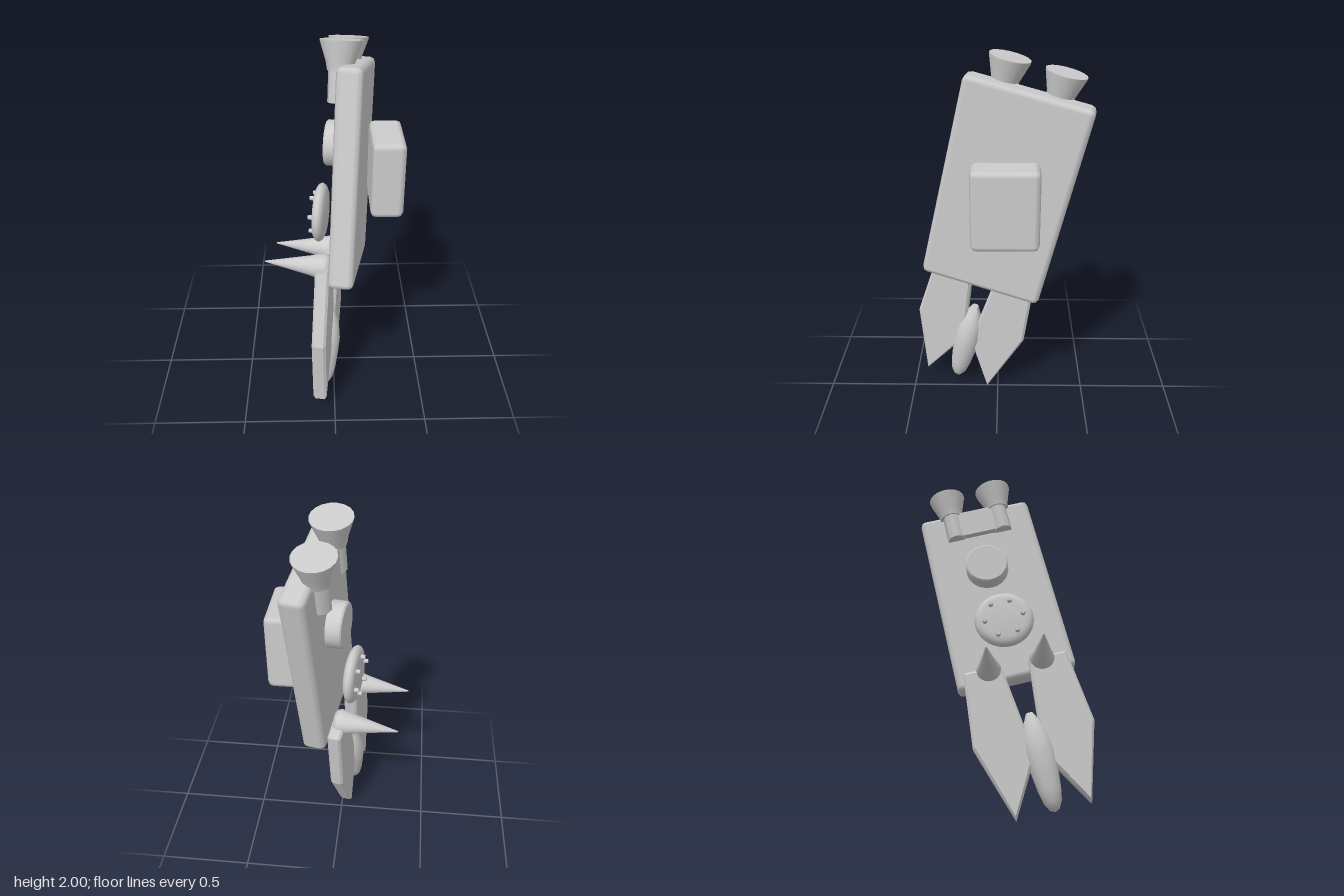
import * as THREE from 'three';
import { RoundedBoxGeometry } from 'three/addons/geometries/RoundedBoxGeometry.js';
import { toCreasedNormals } from 'three/addons/utils/BufferGeometryUtils.js';

const grey = new THREE.MeshStandardMaterial({ color: 0xcccccc });
grey.name = 'paleGrey';

function part(parent, name, geometry, x = 0, y = 0, z = 0) {
  const mesh = new THREE.Mesh(geometry, grey);
  mesh.name = name;
  mesh.position.set(x, y, z);
  parent.add(mesh);
  return mesh;
}

// turned shape from [radius, height] pairs, bottom to top
function turned(points, sides, crease = 0.6) {
  const profile = points.map(([r, h]) => new THREE.Vector2(r, h));
  return toCreasedNormals(new THREE.LatheGeometry(profile, sides), crease);
}

// pointed blade in the y-z plane, side = +1 front, -1 back
function finGeometry(side) {
  const outline = [[0.075, -0.49], [0.28, -0.49], [0.316, -0.895], [0.188, -1.285], [0.02, -0.995]];
  const bevel = 0.012;
  const shape = new THREE.Shape(outline.map(([z, y]) => new THREE.Vector2(-z * side, y)));
  const geo = new THREE.ExtrudeGeometry(shape, {
    depth: 0.075 - 2 * bevel, bevelThickness: bevel, bevelSize: bevel, bevelOffset: -bevel, bevelSegments: 1,
  });
  geo.translate(0, 0, -0.0375 + bevel);
  geo.rotateY(Math.PI / 2);
  return geo;
}

export function createModel() {
  const model = new THREE.Group();
  model.name = 'rocketPack';

  // tilted frame: local x is the slab thickness, y its height, z its width
  const tilted = new THREE.Group();
  tilted.name = 'tiltedPack';
  const up = new THREE.Vector3(0.041, 0.973, -0.227).normalize();
  const side = new THREE.Vector3().crossVectors(up, new THREE.Vector3(-0.162, 0.232, 0.958)).normalize();
  const front = new THREE.Vector3().crossVectors(side, up);
  tilted.quaternion.setFromRotationMatrix(new THREE.Matrix4().makeBasis(side, up, front));
  tilted.position.set(0.1, 1.3, -0.035);
  model.add(tilted);

  part(tilted, 'mainSlab', new RoundedBoxGeometry(0.13, 1.11, 0.655, 1, 0.03));

  // upright box on the outer face
  part(model, 'sideBox', new RoundedBoxGeometry(0.172, 0.42, 0.342, 1, 0.03), 0.277, 1.3, -0.041);

  // bar joining the two nozzle stems
  part(tilted, 'crossBar', new THREE.BoxGeometry(0.07, 0.16, 0.28), -0.067, 0.45, 0);

  // round boss
  const boss = part(tilted, 'roundBoss',
    turned([[0, -0.05], [0.12, -0.05], [0.12, 0.04], [0.112, 0.048], [0, 0.048]], 24), -0.098, 0.132, -0.01);
  boss.rotation.z = Math.PI / 2;

  // round-edged plate with a ring of rivets
  const plate = new THREE.Group();
  plate.name = 'rivetedPlate';
  plate.position.set(-0.16, -0.25, 0);
  plate.rotation.z = Math.PI / 2;
  tilted.add(plate);
  part(plate, 'plateDisc', turned([[0, -0.03], [0.125, -0.03], [0.15, -0.018], [0.16, 0],
    [0.153, 0.016], [0.135, 0.027], [0.115, 0.03], [0, 0.03]], 32, 1));
  for (let i = 0; i < 6; i++) {
    const a = (i + 0.5) * Math.PI / 3;
    part(plate, 'rivet', new THREE.CylinderGeometry(0.011, 0.014, 0.03, 10), 0.105 * Math.cos(a), 0.038, 0.105 * Math.sin(a));
  }

  // paired parts, front and back
  for (const s of [1, -1]) {
    part(tilted, 'nozzle', turned([[0, 0.52], [0.065, 0.52], [0.072, 0.56], [0.102, 0.65],
      [0.105, 0.665], [0, 0.665]], 18), -0.066, 0, s * 0.14);
    part(tilted, 'nozzleStem', new THREE.CylinderGeometry(0.05, 0.05, 0.18, 8), -0.075, 0.455, s * 0.14);
    part(tilted, 'fin', finGeometry(s), -0.102, 0, 0);
    const spike = part(tilted, 'spike', turned([[0, -0.01], [0.055, -0.01], [0.068, 0.008], [0.07, 0.025],
      [0.064, 0.06], [0.053, 0.1], [0.004, 0.342], [0, 0.346]], 24, 1), -0.087, -0.503, s * 0.145);
    spike.rotation.z = Math.PI / 2;
  }

  // spindle between the fins
  part(tilted, 'spindle', turned([[0, -1.288], [0.025, -1.275], [0.045, -1.24], [0.058, -1.18], [0.07, -1.08],
    [0.077, -0.99], [0.068, -0.9], [0.045, -0.83], [0.02, -0.776], [0, -0.776]], 24, 1), -0.103, 0, 0.006);

  return model;
}
